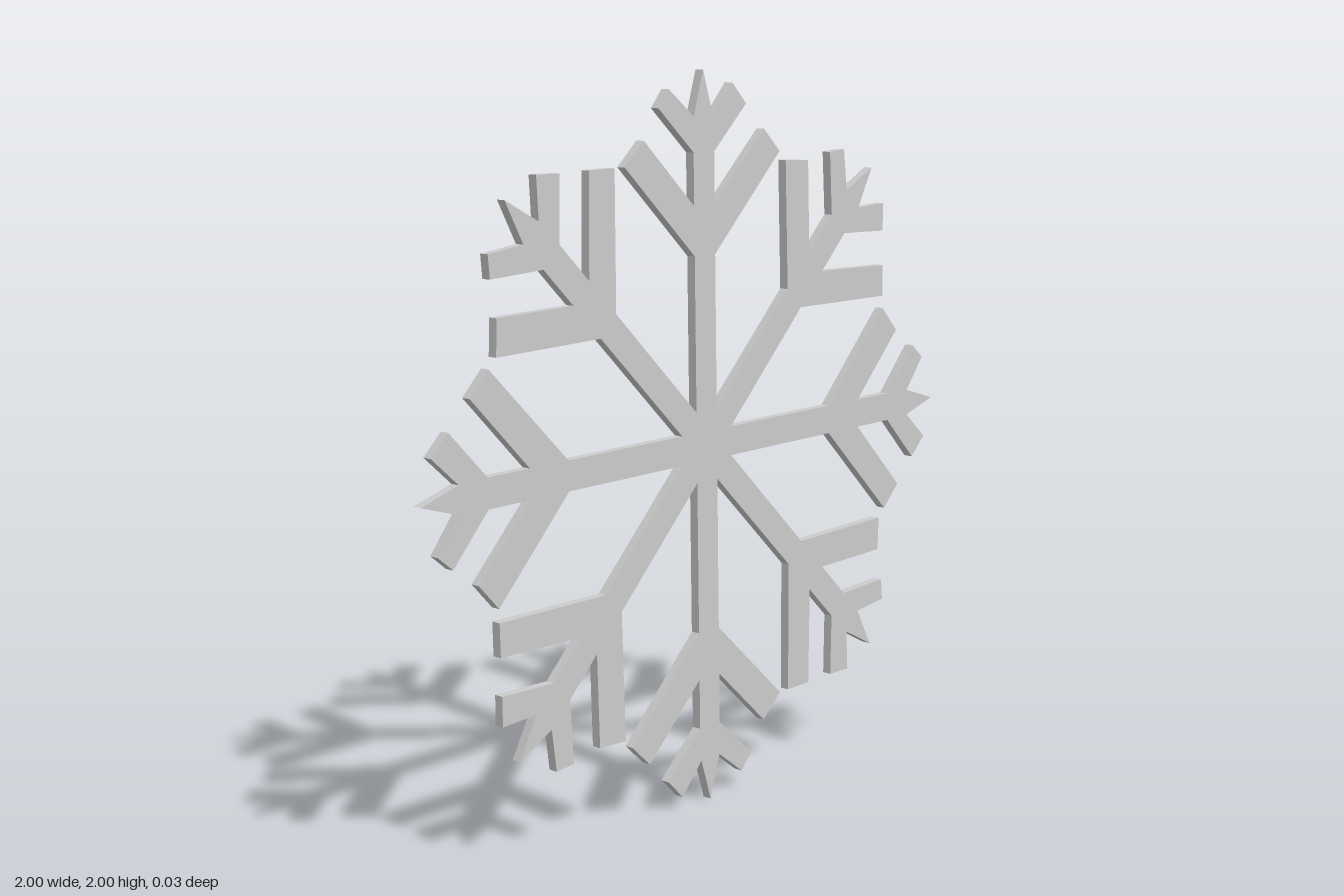
import * as THREE from 'three';

const ARMS = 8;
const TURN = 0.0157;      // slight twist of the whole flake
const THICKNESS = 0.027;
const HALF = 0.04;        // half width of a stem

// Outline of one arm pointing up (+y), walked clockwise from the valley on its left
const ARM = [
  [-HALF, HALF / Math.tan(Math.PI / ARMS)],
  // left long branch
  [-HALF, 0.515], [-0.296, 0.762], [-0.225, 0.826], [-HALF, 0.647],
  // left short branch
  [-HALF, 0.787], [-0.17, 0.906], [-0.13, 0.953], [-0.038, 0.88],
  // pointed tip
  [0, 1],
  // right short branch
  [0.036, 0.88], [0.113, 0.964], [0.168, 0.907], [HALF, 0.787],
  // right long branch
  [HALF, 0.647], [0.24, 0.837], [0.304, 0.774], [HALF, 0.515],
];

export function createModel() {
  const group = new THREE.Group();
  group.name = 'snowflake';

  // Repeat the arm clockwise around the centre into one closed outline
  const centre = new THREE.Vector2(0, 0);
  const points = [];
  for (let i = 0; i < ARMS; i++) {
    const angle = TURN - (i * Math.PI * 2) / ARMS;
    for (const [x, y] of ARM) {
      points.push(new THREE.Vector2(x, y).rotateAround(centre, angle));
    }
  }

  // Flat plate, centred in depth and standing on its lowest tip
  const geometry = new THREE.ExtrudeGeometry(new THREE.Shape(points), {
    depth: THICKNESS,
    bevelEnabled: false,
  });
  geometry.translate(0, 1, -THICKNESS / 2);

  const material = new THREE.MeshStandardMaterial({ color: 0xcccccc, flatShading: true });
  const plate = new THREE.Mesh(geometry, material);
  plate.name = 'snowflakePlate';
  group.add(plate);
  return group;
}
